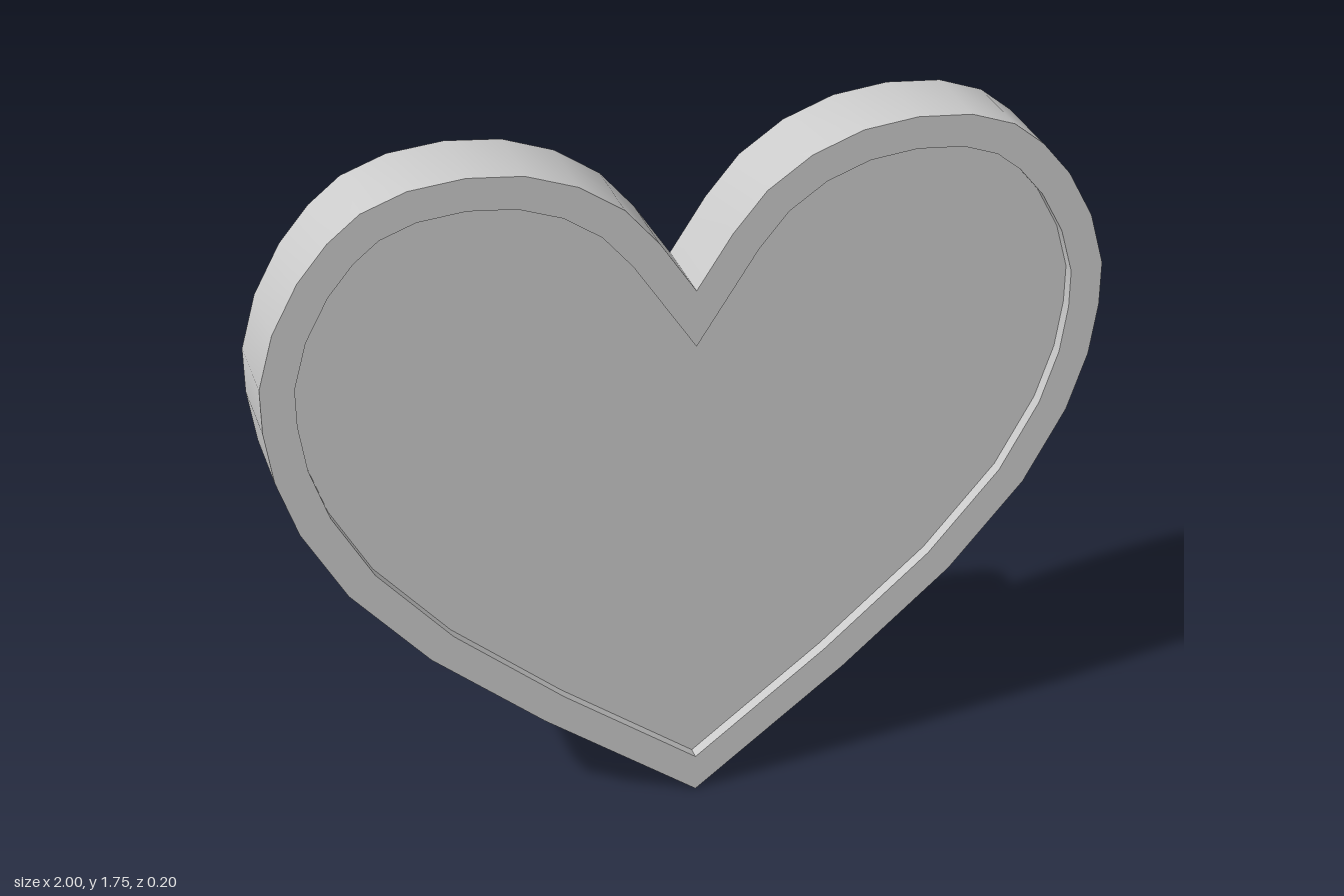
import * as THREE from 'three';
import { toCreasedNormals } from 'three/addons/utils/BufferGeometryUtils.js';

const DEPTH = 0.2;   // full thickness of the rim
const RIM = 0.078;   // width of the rim
const RECESS = 0.03; // how far the panel sits below the rim, front and back

// Right half of the heart, from the bottom tip up and over to the notch
const half = [
  [0, 0], [0.38, 0.29], [0.65, 0.525], [0.834, 0.74], [0.935, 0.925],
  [0.982, 1.07], [1, 1.2], [1, 1.31], [0.963, 1.44], [0.9, 1.556],
  [0.83, 1.64], [0.755, 1.7], [0.65, 1.738], [0.52, 1.75], [0.39, 1.736],
  [0.27, 1.692], [0.165, 1.62], [0.085, 1.525], [0, 1.395],
].map(([x, y]) => new THREE.Vector2(x, y));

// Closed counter-clockwise outline: the half plus its mirror image
function heartOutline() {
  const mirrored = half.slice(1, -1).reverse().map((p) => new THREE.Vector2(-p.x, p.y));
  return [...half, ...mirrored];
}

// Moves every corner inward so that all edges shift by the same distance
function inset(points, distance) {
  const n = points.length;
  const inward = (a, b) => new THREE.Vector2(a.y - b.y, b.x - a.x).normalize();
  return points.map((p, i) => {
    const n1 = inward(points[(i + n - 1) % n], p);
    const n2 = inward(p, points[(i + 1) % n]);
    const miter = n1.clone().add(n2);
    return p.clone().addScaledVector(miter, distance / (1 + n1.dot(n2)));
  });
}

// Extrudes a shape centred on z = 0, smooth round the curves, sharp at edges
function slab(name, shape, depth) {
  const extruded = new THREE.ExtrudeGeometry(shape, { depth, bevelEnabled: false });
  extruded.translate(0, 0, -depth / 2);
  const mesh = new THREE.Mesh(
    toCreasedNormals(extruded, 0.6),
    new THREE.MeshStandardMaterial({ color: 0xcccccc }),
  );
  mesh.name = name;
  return mesh;
}

export function createModel() {
  const group = new THREE.Group();
  group.name = 'heart';

  const outer = heartOutline();
  const inner = inset(outer, RIM);

  // Raised rim, open in the middle
  const rimShape = new THREE.Shape(outer);
  rimShape.holes.push(new THREE.Path(inner));
  group.add(slab('rim', rimShape, DEPTH));

  // Panel filling the rim, recessed on both faces
  group.add(slab('panel', new THREE.Shape(inner), DEPTH - 2 * RECESS));

  return group;
}
